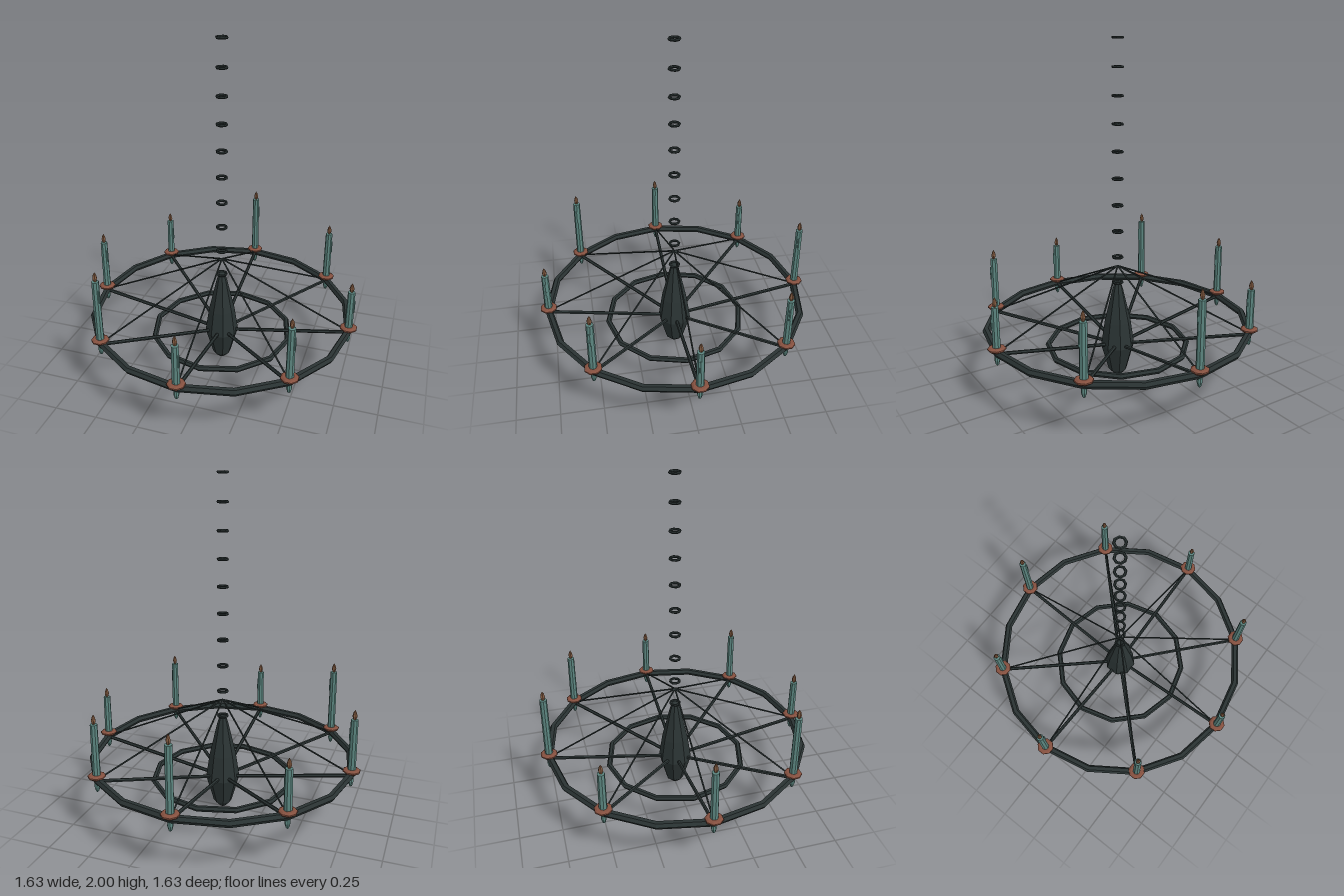
import * as THREE from 'three';

const mat = (name, color, flatShading = true) => {
  const m = new THREE.MeshStandardMaterial({ color, flatShading });
  m.name = name;
  return m;
};

export function createModel() {
  const iron = mat('dark iron', 0x2a3333);
  const wax = mat('teal wax', 0x5c8680);
  const copper = mat('copper', 0x85503f);
  const flameBrown = mat('flame brown', 0x80593f);

  const group = new THREE.Group();
  const add = (parent, name, geometry, material, x = 0, y = 0, z = 0) => {
    const mesh = new THREE.Mesh(geometry, material);
    mesh.name = name;
    mesh.position.set(x, y, z);
    parent.add(mesh);
    return mesh;
  };
  const lathe = (points, sides) =>
    new THREE.LatheGeometry(points.map(([r, y]) => new THREE.Vector2(r, y)), sides, Math.PI / sides);
  const ring = (radius, tube, sides, segments) =>
    new THREE.TorusGeometry(radius, tube, sides, segments).rotateX(Math.PI / 2);

  // Straight rod between two points
  const rod = (name, a, b, radius, sides) => {
    const dir = b.clone().sub(a);
    const mesh = add(group, name, new THREE.CylinderGeometry(radius, radius, dir.length(), sides), iron);
    mesh.position.copy(a).add(b).multiplyScalar(0.5);
    mesh.quaternion.setFromUnitVectors(new THREE.Vector3(0, 1, 0), dir.normalize());
  };

  // Central faceted hub
  add(group, 'hub', lathe([[0, 0.005], [0.018, 0.012], [0.055, 0.05], [0.1, 0.21],
    [0.078, 0.36], [0.032, 0.56], [0.018, 0.605], [0, 0.61]], 8), iron);

  // Two faceted rings
  add(group, 'outerRing', ring(0.77, 0.022, 6, 16), iron, 0, 0.355, 0);
  add(group, 'innerRing', ring(0.415, 0.017, 6, 12), iron, 0, 0.215, 0);

  // Hanging chain of flat links
  const link = ring(0.028, 0.0075, 6, 8);
  for (let i = 0; i < 10; i++) add(group, 'chainLink', link, iron, 0, 0.605 + i * 0.1543, 0);

  // Shared candle parts
  const tray = lathe([[0, -0.012], [0.035, -0.012], [0.051, 0], [0.05, 0.007], [0.038, 0.014], [0, 0.014]], 8);
  const pendant = lathe([[0, -0.075], [0.009, -0.066], [0.016, -0.04], [0.012, 0], [0, 0]], 8);
  const flame = lathe([[0, 0], [0.009, 0.008], [0.014, 0.026], [0.009, 0.046], [0, 0.062]], 6);
  const drip = new THREE.CapsuleGeometry(0.006, 0.07, 2, 6);
  const tops = [0.62, 0.69, 0.62, 0.76, 0.69, 0.62, 0.76, 0.69];

  // Eight arms, each with a spoke, a stay and a candle
  tops.forEach((top, i) => {
    const angle = (i * Math.PI) / 4;
    const c = Math.cos(angle), s = Math.sin(angle);
    const at = (r, y) => new THREE.Vector3(r * c, y, r * s);
    rod('spoke', at(0.03, 0.215), at(0.765, 0.348), 0.0105, 6);
    rod('stay', at(0, 0.705), at(0.75, 0.365), 0.005, 5);

    const candle = new THREE.Group();
    candle.name = 'candle';
    candle.position.set(0.77 * c, 0, 0.77 * s);
    group.add(candle);
    add(candle, 'tray', tray, copper, 0, 0.377, 0);
    add(candle, 'pendant', pendant, wax, 0, 0.355, 0);
    const h = top - 0.385;
    add(candle, 'candleBody', new THREE.CylinderGeometry(0.021, 0.023, h, 8), wax, 0, 0.385 + h / 2, 0);
    add(candle, 'waxDrip', drip, wax, 0.02, top - 0.09, 0.004);
    add(candle, 'flame', flame, flameBrown, 0, top - 0.004, 0);
  });

  return group;
}
